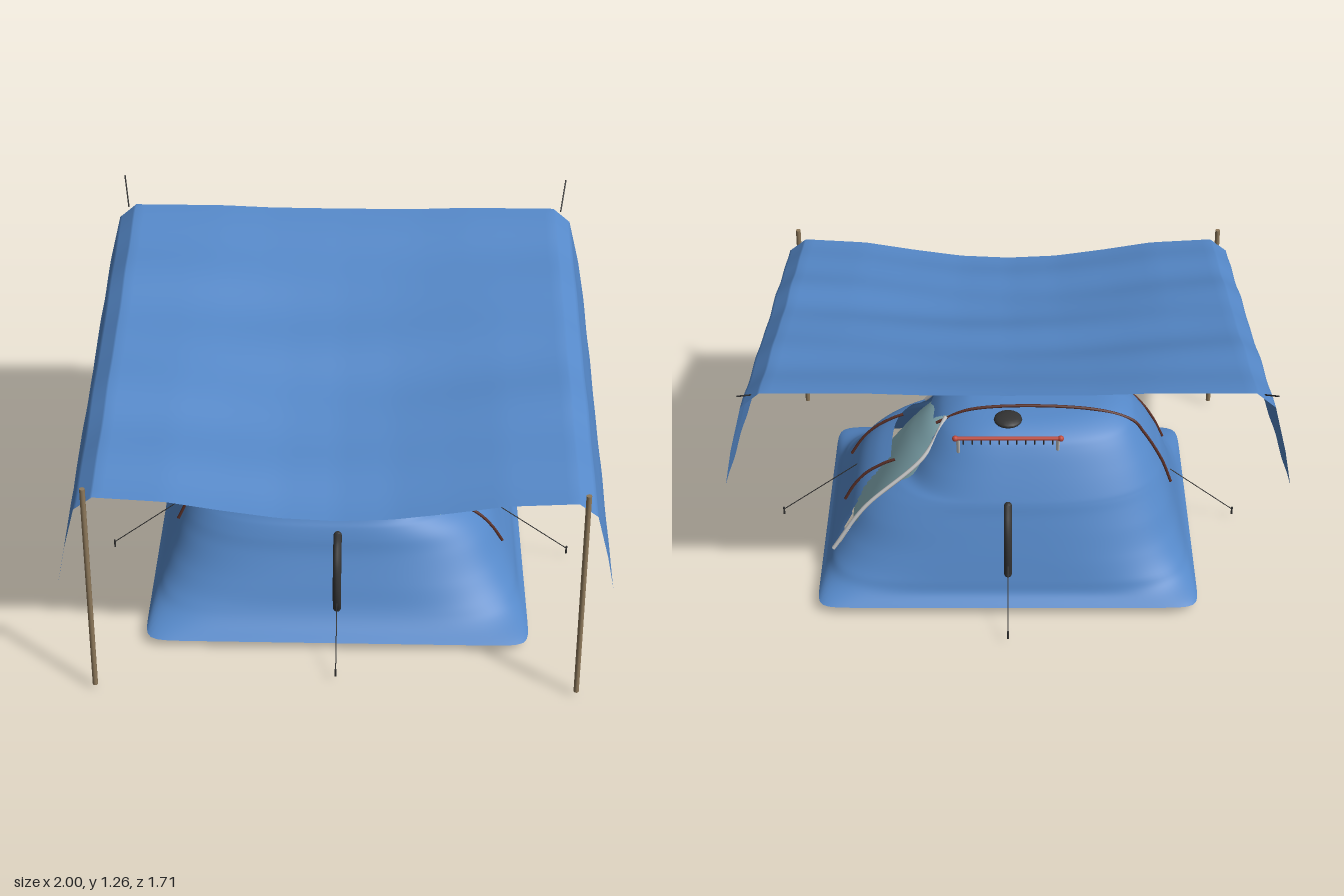
import * as THREE from 'three';

const V = (x, y, z) => new THREE.Vector3(x, y, z);
const mat = (color, side = THREE.FrontSide) => new THREE.MeshStandardMaterial({ color, side });
const BLUE = mat(0x5588c8, THREE.DoubleSide), TEAL = mat(0x8ab4bd, THREE.DoubleSide);
const TAUPE = mat(0x8f8880, THREE.DoubleSide), WOOD = mat(0x8f7a5c), DARK = mat(0x333333);
const STRAP = mat(0x5a3028), GREY = mat(0xcccccc), RED = mat(0xc04a3c), PURPLE = mat(0x9a82a6), TAN = mat(0xb29c7c);

// Indexed grid surface from a point rule; keep() may leave cells out
function sheet(cols, rows, wrap, at, keep = () => true) {
  const pos = [], idx = [], w = wrap ? cols : cols + 1;
  for (let j = 0; j <= rows; j++)
    for (let i = 0; i < w; i++) pos.push(...at(i / cols, j / rows).toArray());
  for (let j = 0; j < rows; j++)
    for (let i = 0; i < cols; i++) {
      const k = (i + 1) % w, a = j * w + i, b = j * w + k, c = a + w, d = b + w;
      if (keep(at((i + 0.5) / cols, (j + 0.5) / rows))) idx.push(a, c, b, b, c, d);
    }
  const g = new THREE.BufferGeometry();
  g.setAttribute('position', new THREE.Float32BufferAttribute(pos, 3));
  g.setIndex(idx);
  g.computeVertexNormals();
  return g;
}

// Dome shell: rows of [y, -x reach, +x reach, +z reach, -z reach, squareness]
function dome(rows) {
  const a = new THREE.CatmullRomCurve3(rows.map(r => V(r[1], r[0], r[2])), false, 'catmullrom', 0.5);
  const b = new THREE.CatmullRomCurve3(rows.map(r => V(r[3], r[5], r[4])), false, 'catmullrom', 0.5);
  const section = u => {
    const p = a.getPoint(u), q = b.getPoint(u);
    return { y: p.y, xl: p.x, xr: p.z, zf: q.x, zb: q.z, n: Math.max(2, q.y) };
  };
  const at = (t, u) => {
    const s = section(u), c = Math.cos(t * Math.PI * 2), d = Math.sin(t * Math.PI * 2);
    const k = (Math.abs(c) ** s.n + Math.abs(d) ** s.n) ** (-1 / s.n);
    return V(c * k * (c > 0 ? s.xr : s.xl), s.y, d * k * (d > 0 ? s.zf : s.zb));
  };
  // point on the shell at a given height and depth
  const on = (y, z, side, lift = 0.004) => {
    let u = 0;
    while (u < 1 && section(u).y < y) u += 0.002;
    const s = section(Math.min(u, 1)), reach = z > 0 ? s.zf : s.zb;
    const f = Math.max(0, 1 - Math.min(1, Math.abs(z) / reach) ** s.n) ** (1 / s.n);
    return V(side * (f * (side > 0 ? s.xr : s.xl) + lift), y + lift, z);
  };
  return { at, on };
}

// Linear lookup in a list of [input, output]
function lookup(list, v) {
  for (let i = 1; i < list.length; i++) {
    const [a, fa] = list[i - 1], [b, fb] = list[i];
    if (v <= b) return fa + (fb - fa) * Math.max(0, (v - a) / (b - a));
  }
  return list[list.length - 1][1];
}

export function createModel() {
  const root = new THREE.Group();
  const add = (name, geo, m, x = 0, y = 0, z = 0) => {
    const o = new THREE.Mesh(geo, m);
    o.name = name;
    o.position.set(x, y, z);
    root.add(o);
    return o;
  };
  const rod = (name, a, b, r, m, sides = 8) => {
    const o = add(name, new THREE.CylinderGeometry(r, r, a.distanceTo(b), sides), m);
    o.position.copy(a).lerp(b, 0.5);
    o.quaternion.setFromUnitVectors(V(0, 1, 0), b.clone().sub(a).normalize());
    return o;
  };
  const tube = (name, pts, r, m, seg = 40) =>
    add(name, new THREE.TubeGeometry(new THREE.CatmullRomCurve3(pts), seg, r, 8), m);

  // Canopy: sagging sheet, low at the front, with hanging sides
  const front = [[0, 0.79], [0.2, 0.8], [0.4, 0.83], [0.6, 0.865], [0.85, 0.88], [0.92, 0.825], [0.97, 0.64], [1, 0.5]];
  const back = [[0, 1.18], [0.3, 1.182], [0.5, 1.19], [0.85, 1.19], [0.92, 1.13], [0.97, 0.94], [1, 0.79]];
  const xs = [[0, -1], [0.1, -0.97], [0.2, -0.92], [0.27, -0.85], [0.73, 0.85], [0.8, 0.92], [0.9, 0.97], [1, 1]];
  add('canopy', sheet(100, 48, false, (s, t) => {
    const x = lookup(xs, s), ax = Math.abs(x);
    const mid = Math.sin(Math.PI * t) * (1 - ax * ax);
    const ripple = 0.006 * Math.sin(t * 17 + x * 3) * Math.sin(t * Math.PI) + 0.004 * Math.sin(t * 31);
    return V(x, lookup(back, ax) * (1 - t) + lookup(front, ax) * t - 0.03 * mid + ripple, -0.735 + 1.545 * t);
  }), BLUE);

  // Outer cover with an open door on the +x side
  const cover = dome([
    [0.035, 0.74, 0.74, 0.62, 0.55, 22], [0.07, 0.72, 0.715, 0.565, 0.51, 9], [0.12, 0.7, 0.695, 0.52, 0.49, 5.5],
    [0.2, 0.675, 0.655, 0.475, 0.46, 4], [0.3, 0.645, 0.6, 0.42, 0.42, 3.5], [0.36, 0.625, 0.54, 0.395, 0.395, 3.3],
    [0.4, 0.61, 0.47, 0.375, 0.38, 3.2], [0.43, 0.595, 0.4, 0.355, 0.365, 3.2], [0.5, 0.56, 0.35, 0.315, 0.325, 3.1],
    [0.58, 0.51, 0.29, 0.25, 0.275, 3], [0.62, 0.475, 0.245, 0.2, 0.24, 2.8], [0.65, 0.41, 0.18, 0.12, 0.18, 2.5],
    [0.66, 0.3, 0.12, 0.07, 0.11, 2.3], [0.665, 0, 0, 0, 0, 2]]);
  const doorLow = [[-0.3, 0.12], [-0.25, 0.2], [-0.2, 0.3], [-0.13, 0.37], [-0.07, 0.4], [0.28, 0.4]];
  const doorHigh = [[-0.3, 0.12], [-0.27, 0.3], [-0.2, 0.5], [-0.1, 0.63], [-0.05, 0.58], [0, 0.545], [0.12, 0.56], [0.2, 0.6], [0.28, 0.42]];
  add('outerCover', sheet(240, 90, true, cover.at, p =>
    !(p.x > 0.05 && p.z > -0.3 && p.z < 0.28 && p.y > lookup(doorLow, p.z) && p.y < lookup(doorHigh, p.z))), BLUE);

  // Inner tent and its floor
  const inner = dome([
    [0.015, 0.64, 0.64, 0.5, 0.43, 4], [0.1, 0.64, 0.62, 0.47, 0.42, 3.2], [0.25, 0.62, 0.54, 0.41, 0.4, 2.6],
    [0.4, 0.57, 0.445, 0.33, 0.34, 2.4], [0.5, 0.52, 0.37, 0.27, 0.29, 2.3], [0.58, 0.45, 0.29, 0.2, 0.24, 2.2],
    [0.63, 0.35, 0.18, 0.1, 0.14, 2], [0.645, 0, 0, 0, 0, 2]]);
  add('innerTent', sheet(96, 40, true, inner.at), TEAL);
  add('tentFloor', sheet(96, 6, true, (t, u) => {
    const p = inner.at(t, 0);
    return V(p.x * u, 0.015 * u * u, p.z * u);
  }), TAUPE);

  // Seam straps over the cover, broken at the door
  const heights = [0.3, 0.4, 0.48, 0.55, 0.6];
  for (const [z, top] of [[0.2, 0.615], [-0.1, 0.655]]) {
    const over = heights.map(y => cover.on(y, z, -1));
    over.push(cover.on(top, z, -1), cover.on(top, z, 1), cover.on(0.59, z, 1));
    tube('roofStrap', over, 0.006, STRAP, 60);
    tube('doorStrap', [0.21, 0.28, 0.34, 0.39, 0.41].map(y => cover.on(y, z, 1)), 0.006, STRAP);
  }
  // Pale poles along the door edges
  tube('doorPole', [[0.62, -0.1], [0.5, -0.2], [0.3, -0.27], [0.12, -0.3]].map(([y, z]) => cover.on(y, z, 1)), 0.008, GREY);
  tube('doorPole', [[0.61, 0.19], [0.52, 0.25], [0.42, 0.29]].map(([y, z]) => cover.on(y, z, 1)), 0.007, GREY);
  add('doorPouch', new THREE.BoxGeometry(0.02, 0.04, 0.045), GREY, 0.63, 0.155, -0.24);

  // Dark padded handles at front and back
  const handles = [
    [[0.415, 0.43], [0.4, 0.48], [0.35, 0.535], [0.27, 0.565], [0.2, 0.565], [0.155, 0.55]],
    [[0.405, -0.38], [0.37, -0.43], [0.32, -0.465], [0.25, -0.485], [0.155, -0.485]]];
  for (const path of handles) {
    tube('handle', path.map(([y, z]) => V(0, y, z)), 0.016, DARK);
    for (const [y, z] of [path[0], path[path.length - 1]]) add('handleEnd', new THREE.SphereGeometry(0.016, 10, 8), DARK, 0, y, z);
  }

  // Guy ropes and pegs on four sides
  for (const [a, b] of [
    [V(0, 0.22, 0.56), V(0, 0.04, 0.785)], [V(0, 0.22, -0.48), V(0, 0.04, -0.705)],
    [V(0.6, 0.29, 0.04), V(0.925, 0.045, 0.04)], [V(-0.64, 0.27, 0.04), V(-0.925, 0.045, 0.04)]]) {
    rod('guyRope', a, b, 0.002, DARK, 5);
    rod('peg', V(b.x, 0.02, b.z), V(b.x, 0.055, b.z), 0.004, DARK, 6);
  }

  // Canopy poles in front, canopy ropes behind
  for (const s of [-1, 1]) {
    rod('canopyPole', V(s * 0.9, 0.02, 0.845), V(s * 0.88, 0.92, 0.815), 0.01, WOOD, 10);
    rod('canopyRope', V(s * 0.88, 1.18, -0.73), V(s * 0.905, 1.26, -0.85), 0.003, DARK, 5);
  }

  // Load on the roof: bed roll, box, dark vent
  add('bedRoll', new THREE.CapsuleGeometry(0.046, 0.286, 8, 20), PURPLE, 0, 0.748, -0.03).rotation.z = Math.PI / 2;
  for (const s of [-1, 1])
    add('rollBand', new THREE.TorusGeometry(0.046, 0.005, 6, 24), DARK, s * 0.08, 0.748, -0.03).rotation.y = Math.PI / 2;
  add('roofBox', new THREE.BoxGeometry(0.27, 0.16, 0.14), TAN, 0, 0.715, 0.14);
  add('roofVent', new THREE.SphereGeometry(0.055, 16, 10), DARK, 0, 0.655, -0.16).scale.y = 0.35;

  // Comb racks: red bar at the back, dark one at the front
  const rack = (y, z, m, drop, lean) => {
    rod('rackBar', V(-0.2, y, z), V(0.2, y, z), 0.008, m);
    for (let i = 0; i < 11; i++) {
      const x = -0.17 + i * 0.034;
      rod('rackTine', V(x, y, z), V(x, y - drop, z + lean), 0.003, DARK, 5);
    }
  };
  rack(0.66, -0.29, RED, 0.035, 0.01);
  rack(0.627, 0.22, DARK, 0.05, 0.01);
  for (const s of [-1, 1]) {
    add('rackKnob', new THREE.SphereGeometry(0.012, 10, 8), RED, s * 0.2, 0.66, -0.29);
    rod('rackPost', V(s * 0.19, 0.57, -0.255), V(s * 0.19, 0.66, -0.29), 0.007, GREY);
  }
  return root;
}
